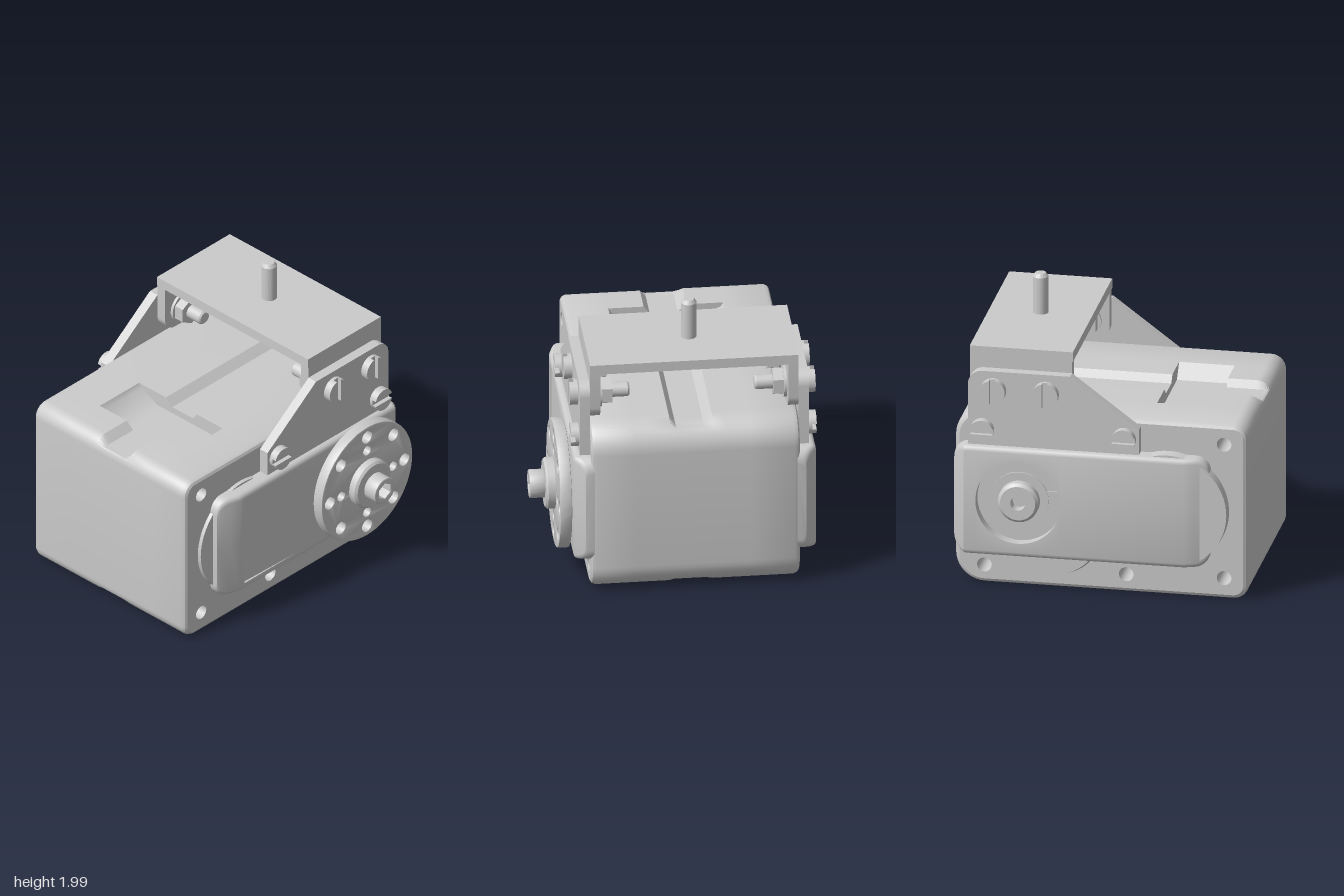
import * as THREE from 'three';
import { toCreasedNormals } from 'three/addons/utils/BufferGeometryUtils.js';

const FRONT = 0.58, BACK = -0.83, MID_Y = 0.63, SHAFT_X = 0.55;
const grey = new THREE.MeshStandardMaterial({ color: 0xcccccc });
const greyOpen = new THREE.MeshStandardMaterial({ color: 0xcccccc, side: THREE.DoubleSide });

// Skin through equal-length rings; optional convex end caps
function loft(rings, caps) {
  const n = rings[0].length, pos = rings.flat(2), idx = [];
  for (let i = 0; i < rings.length - 1; i++) {
    for (let j = 0; j < n; j++) {
      const a = i * n + j, b = i * n + (j + 1) % n;
      idx.push(a, b, b + n, a, b + n, a + n);
    }
  }
  if (caps) {
    const e = (rings.length - 1) * n;
    for (let j = 1; j < n - 1; j++) idx.push(0, j + 1, j, e, e + j, e + j + 1);
  }
  const g = new THREE.BufferGeometry();
  g.setAttribute('position', new THREE.Float32BufferAttribute(pos, 3));
  g.setIndex(idx);
  return g;
}

// Reflect a front part onto the back face, keeping the winding right
function toBack(geo) {
  const g = geo.index ? geo.toNonIndexed() : geo.clone();
  const p = g.attributes.position, v = [];
  for (let i = 0; i < p.count; i += 3) {
    for (const k of [i, i + 2, i + 1]) v.push(p.getX(k), p.getY(k), FRONT + BACK - p.getZ(k));
  }
  const out = new THREE.BufferGeometry();
  out.setAttribute('position', new THREE.Float32BufferAttribute(v, 3));
  return out;
}

function add(parent, name, geo, { back = false, mat = grey } = {}) {
  const m = new THREE.Mesh(toCreasedNormals(back ? toBack(geo) : geo, 0.6), mat);
  m.name = name;
  parent.add(m);
  return m;
}

// Cylinder facing +z from z0 to z1
const disc = (x, y, r, z0, z1, rTop = r, seg = 40) =>
  new THREE.CylinderGeometry(rTop, r, z1 - z0, seg).rotateX(Math.PI / 2).translate(x, y, (z0 + z1) / 2);

const circle = (x, y, r, C = THREE.Path) => new C().absarc(x, y, r, 0, Math.PI * 2, false);

const slab = (shape, z, depth, bevel = 0) => new THREE.ExtrudeGeometry(shape, {
  depth: depth - 2 * bevel, bevelEnabled: bevel > 0, bevelSize: bevel, bevelThickness: bevel,
  bevelOffset: -bevel, bevelSegments: 2, curveSegments: 32,
}).translate(0, 0, z + bevel);

// Slotted screw head, facing +z from z = 0
function slottedHead(r, h, angle) {
  const parts = [disc(0, 0, r, 0, h * 0.45)];
  const a = Math.asin(0.02 / r);
  for (const s of [0, Math.PI]) {
    const half = new THREE.Shape().absarc(0, 0, r, a + s, Math.PI - a + s, false);
    parts.push(slab(half, h * 0.45, h * 0.55));
  }
  return parts.map(g => g.rotateZ(angle));
}

// Case outline inset by e, with strap groove depth g and pocket depth p
function caseRing(z, e, g, p) {
  const pts = [], top = 1.25;
  const corner = (cx, cy, r, start) => {
    for (let i = 0; i <= 10; i++) {
      const t = start + i / 10 * Math.PI / 2;
      pts.push([cx + (r - e) * Math.cos(t), cy + (r - e) * Math.sin(t)]);
    }
  };
  const clampY = y => Math.min(top - g, Math.max(g, y));
  const d = Math.max(g, p);
  const pocket = (x0, x1, edge, deep) => pts.push([x0, edge], [x0, deep, 1], [x1, deep, 1], [x1, edge]);
  corner(0.8, 0.2, 0.2, -Math.PI / 2);
  corner(0.8, top - 0.2, 0.2, 0);
  pocket(-0.32, -0.7, top - e, top - Math.max(d, e));
  corner(-0.9, top - 0.1, 0.1, Math.PI / 2);
  corner(-0.9, 0.1, 0.1, Math.PI);
  pocket(-0.7, -0.32, e, Math.max(d, e));
  return pts.map(([x, y, deep]) => [x, deep ? y : clampY(y), z]);
}

function buildCase(parent) {
  const stations = [
    [BACK, 0.03, 0, 0], [-0.82, 0.012, 0, 0], [-0.795, 0, 0, 0], [-0.5, 0, 0, 0], [-0.48, 0, 0, 0.03],
    [-0.33, 0, 0, 0.1], [-0.25, 0, 0, 0.1], [-0.19, 0, 0.05, 0.1], [0, 0, 0.05, 0.1], [0.04, 0, 0, 0.1],
    [0.2, 0, 0, 0.1], [0.28, 0, 0, 0], [0.545, 0, 0, 0], [0.57, 0.012, 0, 0], [FRONT, 0.03, 0, 0],
  ];
  const rings = stations.map(s => caseRing(...s));
  add(parent, 'caseShell', loft(rings, false));
  // Faces with four through holes
  const outline = rings[0].filter((q, i, a) => i === 0 || Math.hypot(q[0] - a[i - 1][0], q[1] - a[i - 1][1]) > 1e-6);
  const shape = new THREE.Shape(outline.map(q => new THREE.Vector2(q[0], q[1])));
  const holes = [[-0.84, 1.11], [-0.84, 0.15], [-0.17, 0.13], [0.8, 0.13]];
  for (const [x, y] of holes) shape.holes.push(circle(x, y, 0.05));
  const face = new THREE.ShapeGeometry(shape, 12).translate(0, 0, FRONT);
  add(parent, 'caseFrontFace', face);
  add(parent, 'caseBackFace', face, { back: true });
  for (const [x, y] of holes) {
    const tube = new THREE.CylinderGeometry(0.05, 0.05, FRONT - BACK, 24, 1, true).rotateX(Math.PI / 2);
    add(parent, 'mountingHole', tube.translate(x, y, (FRONT + BACK) / 2), { mat: greyOpen });
  }
}

// Raised cover swept along x; recess stations are [x, half height, depth]
function coverGeometry(recess) {
  const H = 0.39, R = 0.1, st = [];
  for (let i = 0; i <= 8; i++) {
    const t = i / 8 * Math.PI / 2, dx = R * (1 - Math.cos(t)), h = H - R + R * Math.sin(t);
    st.push([-0.75 + dx, 0, 0, h], [1 - dx, 0, 0, h]);
  }
  st.push([-0.58, 0, 0, H], [0.92, 0, 0, H - R + R * Math.sqrt(1 - 0.04)]);
  for (const s of recess) st.push([...s, H]);
  st.sort((a, b) => a[0] - b[0]);
  const rings = st.map(([x, w, d, h]) => {
    const Z = Math.min(0.115, 0.06 + (x + 0.75) * 0.32, 0.04 + (1 - x) * 0.94), r = 0.035;
    const half = [[h, -0.02], [h, Z - r], [h - 0.1 * r, Z - 0.6 * r], [h - 0.3 * r, Z - 0.3 * r],
      [h - 0.6 * r, Z - 0.1 * r], [h - r, Z], [w, Z], [w, Z - d]];
    const other = half.map(([y, z]) => [-y, z]).reverse();
    return [...half, ...other].map(([y, z]) => [x, MID_Y + y, FRONT + z]);
  });
  return loft(rings, true);
}

function buildCovers(parent) {
  const panel = [[-0.541, 0.335, 0], [-0.54, 0.335, 0.015], [-0.04, 0.335, 0]];
  add(parent, 'frontCover', coverGeometry(panel));
  // Round well for the rear bearing
  const well = [];
  for (let i = 0; i <= 32; i++) {
    const t = i / 32 * Math.PI;
    well.push([SHAFT_X - 0.29 * Math.cos(t), 0.29 * Math.sin(t), 0.075]);
  }
  add(parent, 'backCover', coverGeometry(well), { back: true });
  const boss = [[0.2, 0.03], [0.2, 0.05], [0.14, 0.05], [0.14, 0.1], [0.12, 0.12], [0.05, 0.12], [0.05, 0.045], [0.001, 0.045]];
  const lathe = new THREE.LatheGeometry(boss.map(q => new THREE.Vector2(...q)), 40);
  add(parent, 'rearBearing', lathe.rotateX(Math.PI / 2).translate(SHAFT_X, MID_Y, FRONT), { back: true, mat: greyOpen });
  for (const back of [false, true]) {
    add(parent, 'motorHousing', disc(-0.465, MID_Y, 0.41, 0.56, back ? 0.66 : 0.605, 0.405, 64), { back });
    add(parent, 'gearHousing', disc(0.31, 0.41, 0.31, FRONT, 0.625, 0.295, 64), { back });
  }
}

function buildHorn(parent) {
  const plate = circle(SHAFT_X, MID_Y, 0.44, THREE.Shape);
  for (let i = 0; i < 8; i++) {
    const c = Math.cos(i * Math.PI / 4), s = Math.sin(i * Math.PI / 4);
    plate.holes.push(circle(SHAFT_X + 0.36 * c, MID_Y + 0.36 * s, 0.045));
    if (i % 2 === 0) plate.holes.push(circle(SHAFT_X + 0.25 * c, MID_Y + 0.25 * s, 0.034));
  }
  add(parent, 'hornDisc', slab(plate, 0.71, 0.08, 0.008));
  add(parent, 'outputShaft', disc(SHAFT_X, MID_Y, 0.17, 0.66, 0.72));
  add(parent, 'hornHub', disc(SHAFT_X, MID_Y, 0.175, 0.78, 0.84));
  add(parent, 'hubChamfer', disc(SHAFT_X, MID_Y, 0.175, 0.84, 0.855, 0.16));
  const head = circle(SHAFT_X, MID_Y, 0.097, THREE.Shape), hex = [];
  for (let i = 0; i < 6; i++) {
    const t = (i + 0.5) * Math.PI / 3;
    hex.push(new THREE.Vector2(SHAFT_X + 0.06 * Math.cos(t), MID_Y + 0.06 * Math.sin(t)));
  }
  head.holes.push(new THREE.Path(hex));
  add(parent, 'socketScrew', slab(head, 0.85, 0.107, 0.008));
}

function buildBracket(parent) {
  const side = new THREE.Shape();
  side.moveTo(-0.27, 1.02).lineTo(0.9, 1.02).lineTo(0.9, 1.45);
  side.absarc(0.8, 1.45, 0.1, 0, Math.PI / 2, false);
  side.lineTo(0.2, 1.55).lineTo(-0.27, 1.2).closePath();
  const leg = new THREE.Shape();
  leg.moveTo(0.2, 1.66).lineTo(0.2, 1.38).absarc(0.3, 1.38, 0.1, Math.PI, Math.PI * 1.5, false);
  leg.absarc(0.8, 1.38, 0.1, -Math.PI / 2, 0, false).lineTo(0.9, 1.66).closePath();
  add(parent, 'bracketTop', new THREE.BoxGeometry(0.705, 0.07, 1.41).translate(0.5475, 1.665, -0.125));
  for (const back of [false, true]) {
    const o = { back };
    add(parent, 'sidePlate', slab(side, FRONT, 0.07), o);
    add(parent, 'bracketLeg', slab(leg, 0.51, 0.07), o);
    for (const x of [0.365, 0.725]) {
      for (const g of slottedHead(0.088, 0.055, Math.PI / 2)) add(parent, 'boltHead', g.translate(x, 1.415, 0.65), o);
      add(parent, 'washer', disc(x, 1.415, 0.11, 0.49, 0.512), o);
      add(parent, 'hexNut', disc(x, 1.415, 0.1, 0.42, 0.49, 0.1, 6), o);
      add(parent, 'boltShank', disc(x, 1.415, 0.05, 0.31, 0.44), o);
      add(parent, 'boltTip', disc(x, 1.415, 0.04, 0.298, 0.31, 0.05), o);
    }
    for (const x of [-0.17, 0.8]) {
      for (const g of slottedHead(0.08, 0.055, 0)) add(parent, 'plateScrew', g.translate(x, 1.13, 0.65), o);
    }
  }
  // Upright stud with its head under the bracket
  const up = g => g.rotateX(-Math.PI / 2).translate(SHAFT_X, 0, -0.125);
  add(parent, 'stud', up(disc(0, 0, 0.053, 1.62, 1.96)));
  add(parent, 'studTip', up(disc(0, 0, 0.053, 1.96, 1.985, 0.036)));
  for (const g of slottedHead(0.088, 0.055, Math.PI / 2)) {
    add(parent, 'studHead', g.rotateX(Math.PI / 2).translate(SHAFT_X, 1.63, -0.125));
  }
}

export function createModel() {
  const model = new THREE.Group();
  model.name = 'servoWithBracket';
  const sections = { case: buildCase, covers: buildCovers, horn: buildHorn, bracket: buildBracket };
  for (const [name, build] of Object.entries(sections)) {
    const g = new THREE.Group();
    g.name = name;
    build(g);
    model.add(g);
  }
  return model;
}
